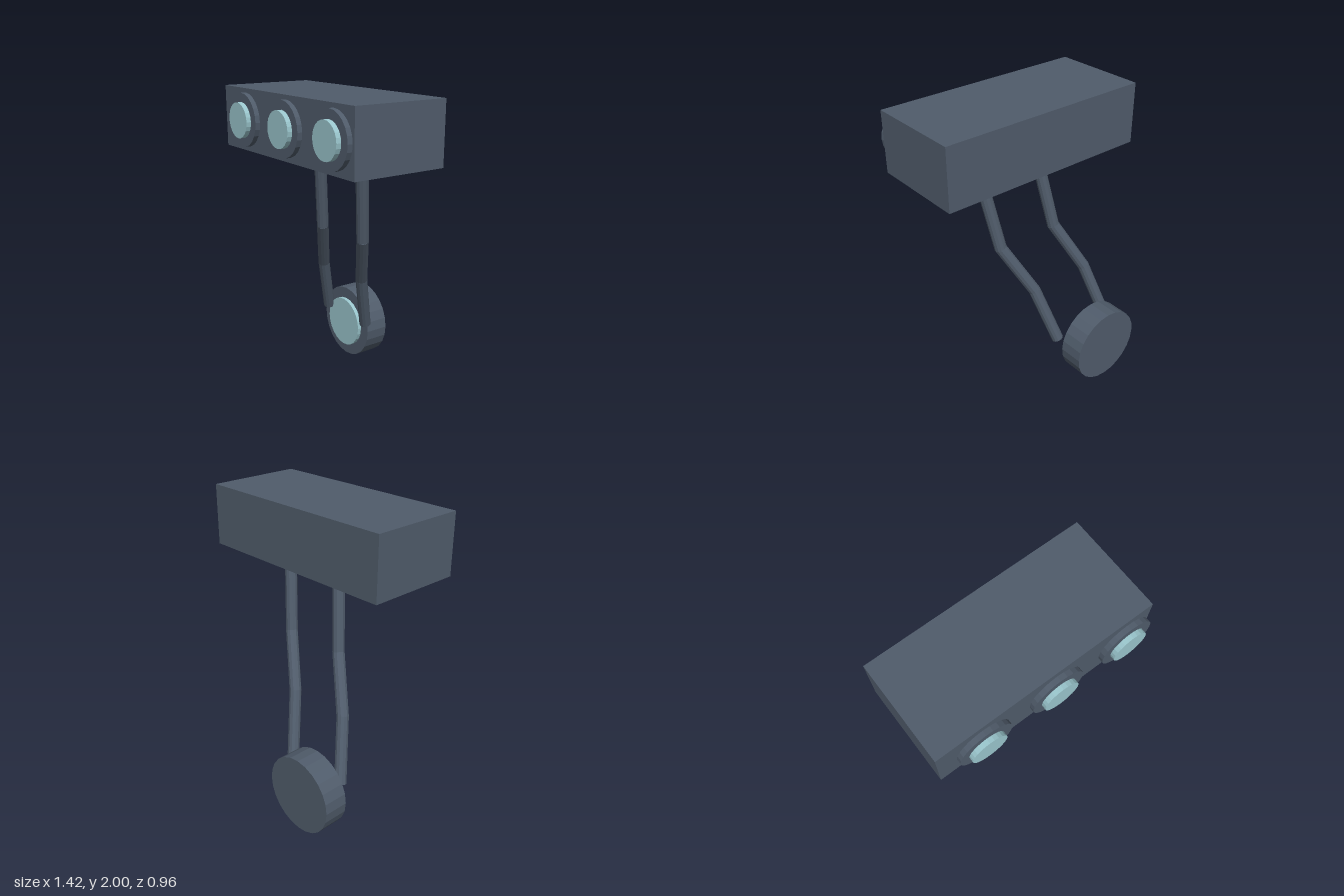
import * as THREE from 'three';

export function createModel() {
  const model = new THREE.Group();
  model.name = 'lampUnit';

  const casing = new THREE.MeshStandardMaterial({ color: 0x505c6b });
  casing.name = 'slate casing';
  const glass = new THREE.MeshStandardMaterial({ color: 0x9ac6cd });
  glass.name = 'pale glass';
  casing.flatShading = glass.flatShading = true;

  const add = (name, geometry, material, parent = model) => {
    const mesh = new THREE.Mesh(geometry, material);
    mesh.name = name;
    parent.add(mesh);
    return mesh;
  };

  // Disc facing +z between two depths
  const disc = (name, x, y, radius, back, front, material) => {
    const geometry = new THREE.CylinderGeometry(radius, radius, front - back, 24);
    geometry.rotateX(Math.PI / 2);
    add(name, geometry, material).position.set(x, y, (back + front) / 2);
  };

  // Upper housing
  add('housing', new THREE.BoxGeometry(1.42, 0.395, 0.635), casing).position.set(0, 1.8025, 0.0925);

  // Row of three round lamps, set just off the housing front
  for (const x of [-0.425, 0.055, 0.533]) {
    disc('lampRim', x, 1.805, 0.17, 0.417, 0.449, casing);
    disc('lampLens', x, 1.805, 0.113, 0.449, 0.48, glass);
  }

  // Lower round lamp
  disc('lowerLampBody', -0.343, 0.262, 0.26, -0.48, -0.315, casing);
  disc('lowerLampLens', -0.343, 0.262, 0.18, -0.315, -0.288, glass);

  // Pair of bent arms made of straight rods
  const path = [
    [-0.134, 1.64, 0.055],
    [-0.23, 1.08, -0.03],
    [-0.405, 0.74, -0.158],
    [-0.513, 0.35, -0.277],
  ].map((p) => new THREE.Vector3(...p));
  const up = new THREE.Vector3(0, 1, 0);
  for (const [name, offset] of [['rightArm', 0], ['leftArm', 0.445]]) {
    const arm = new THREE.Group();
    arm.name = name;
    arm.position.x = offset;
    model.add(arm);
    for (let i = 0; i < path.length - 1; i++) {
      const dir = path[i].clone().sub(path[i + 1]);
      const rod = add('armRod', new THREE.CylinderGeometry(0.04, 0.04, dir.length() + 0.01, 12), casing, arm);
      rod.position.copy(path[i]).add(path[i + 1]).multiplyScalar(0.5);
      rod.quaternion.setFromUnitVectors(up, dir.normalize());
    }
  }
  return model;
}
